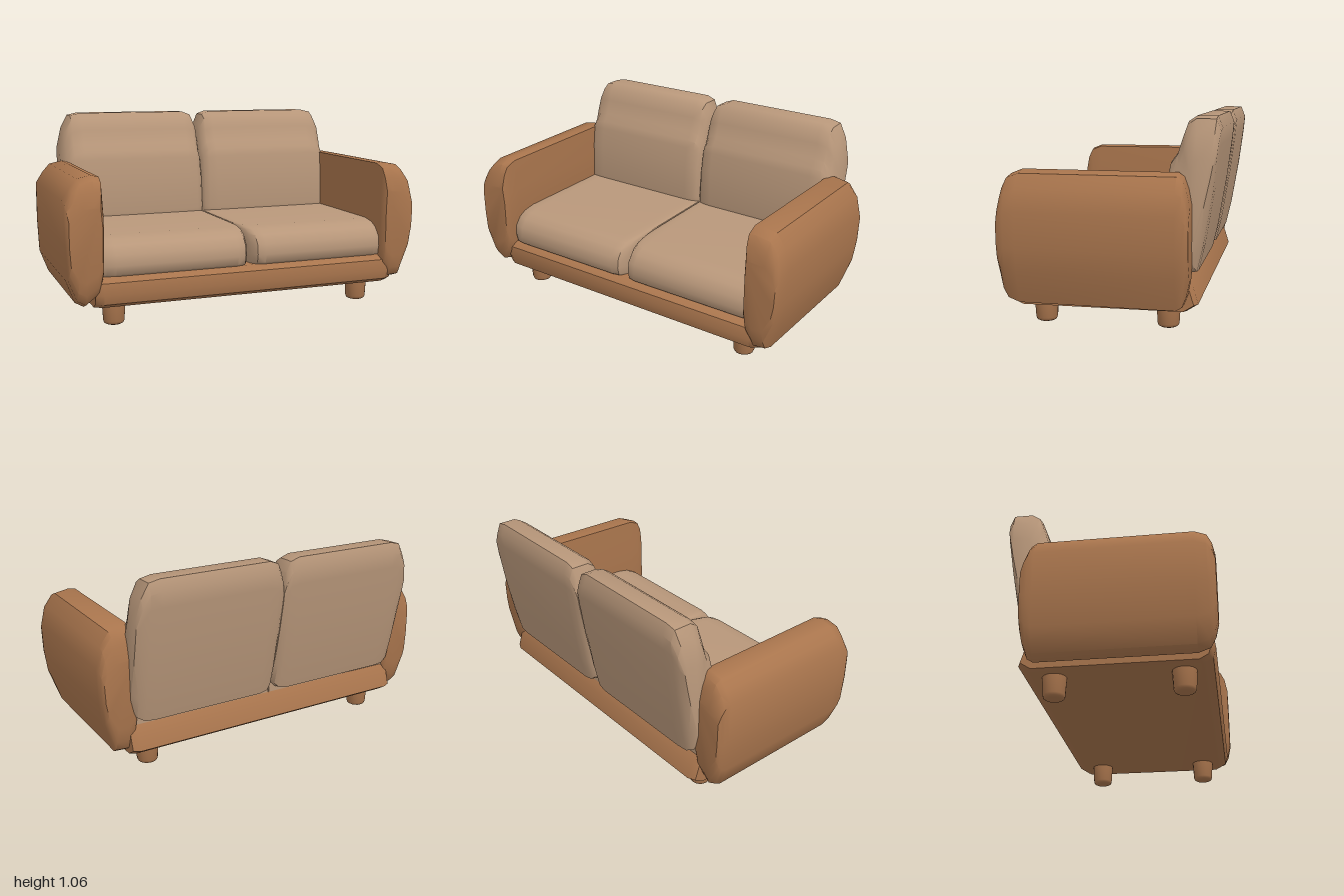
import * as THREE from 'three';
import { toCreasedNormals } from 'three/addons/utils/BufferGeometryUtils.js';

const frameMat = new THREE.MeshStandardMaterial({ color: 0xa9754d });
const cushionMat = new THREE.MeshStandardMaterial({ color: 0xb8977a });

// Skin a closed solid over equal-length rings of [x, y, z], capping both ends
function loft(rings, crease = 0.75) {
  const n = rings[0].length, pos = [], idx = [];
  rings.forEach(r => r.forEach(p => pos.push(...p)));
  for (let i = 0; i < rings.length - 1; i++) {
    for (let j = 0; j < n; j++) {
      const a = i * n + j, b = i * n + (j + 1) % n;
      idx.push(a, b, a + n, b, b + n, a + n);
    }
  }
  const last = (rings.length - 1) * n;
  for (let j = 1; j < n - 1; j++) {
    idx.push(0, j + 1, j, last, last + j, last + j + 1);
  }
  // A negative volume means the faces point inward, so turn them round
  let volume = 0;
  const a = new THREE.Vector3(), b = new THREE.Vector3(), c = new THREE.Vector3();
  for (let k = 0; k < idx.length; k += 3) {
    a.fromArray(pos, idx[k] * 3);
    b.fromArray(pos, idx[k + 1] * 3);
    c.fromArray(pos, idx[k + 2] * 3);
    volume += a.dot(b.cross(c));
  }
  if (volume < 0) idx.reverse();
  const g = new THREE.BufferGeometry();
  g.setAttribute('position', new THREE.Float32BufferAttribute(pos, 3));
  g.setIndex(idx);
  return toCreasedNormals(g, crease);
}

export function createModel() {
  const sofa = new THREE.Group();
  sofa.name = 'sofa';
  const add = (name, geometry, material) => {
    const m = new THREE.Mesh(geometry, material);
    m.name = name;
    sofa.add(m);
  };

  // Base: a (z, y) profile run across the width
  const baseProfile = [[0.46, 0.115], [0.505, 0.14], [0.52, 0.19], [0.51, 0.25], [0.47, 0.275],
    [-0.38, 0.275], [-0.41, 0.23], [-0.435, 0.15], [-0.38, 0.115]];
  add('base', loft([[-0.85, 0.96], [-0.81, 1], [0.81, 1], [0.85, 0.96]].map(([x, s]) =>
    baseProfile.map(([z, y]) => [x, 0.195 + (y - 0.195) * s, z * s]))), frameMat);

  // Arms: an (x, y) outline run from front to back, with bevelled ends
  const arms = {
    leftArm: { lean: -0.03, outline: [[0.79, 0.79], [0.83, 0.795], [0.91, 0.78], [0.96, 0.71], [0.985, 0.6],
      [0.98, 0.42], [0.965, 0.3], [0.91, 0.14], [0.84, 0.135], [0.80, 0.2], [0.785, 0.3], [0.785, 0.6]] },
    rightArm: { lean: 0, outline: [[-0.81, 0.78], [-0.85, 0.79], [-0.92, 0.775], [-0.96, 0.73], [-0.998, 0.67],
      [-0.998, 0.45], [-0.99, 0.27], [-0.945, 0.15], [-0.90, 0.125], [-0.83, 0.18], [-0.805, 0.28], [-0.80, 0.6]] },
  };
  // [z, width scale, height scale]
  const armStations = [[0.54, 0.84, 0.56], [0.525, 0.92, 0.78], [0.50, 0.97, 0.93], [0.44, 1, 1],
    [-0.34, 1, 1], [-0.37, 0.97, 0.94], [-0.39, 0.92, 0.78], [-0.405, 0.84, 0.55]];
  for (const [name, { lean, outline }] of Object.entries(arms)) {
    const cx = name === 'leftArm' ? 0.885 : -0.9;
    add(name, loft(armStations.map(([z, sx, sy]) => outline.map(([x, y]) =>
      [cx + (x - cx) * sx + lean * (z - 0.05), 0.45 + (y - 0.45) * sy, z]))), frameMat);
  }

  // Seat cushion (z, y) profile; [x, front setback, height scale] across the width
  const seatProfile = [[-0.38, 0.27], [0.46, 0.265], [0.488, 0.285], [0.498, 0.33], [0.49, 0.385],
    [0.455, 0.43], [0.41, 0.453], [0.34, 0.465], [-0.38, 0.462]];
  const seatStations = [[0.004, 0.12, 0.97], [0.014, 0.05, 0.99], [0.035, 0.01, 1], [0.08, 0, 1],
    [0.74, 0, 1], [0.79, 0.01, 1], [0.82, 0.03, 0.96]];

  // Back cushion (z, y) profile: flat back, full lower front, slimmer head roll
  const backProfile = [[-0.425, 0.30], [-0.36, 0.29], [-0.27, 0.38], [-0.255, 0.48], [-0.262, 0.68],
    [-0.278, 0.79], [-0.287, 0.835], [-0.32, 0.88], [-0.345, 0.96], [-0.37, 1.03], [-0.412, 1.058],
    [-0.512, 1.058], [-0.535, 1.0], [-0.528, 0.92], [-0.50, 0.70], [-0.455, 0.43]];
  // [x, depth scale, top height, bottom height]
  const backStations = [[0.002, 0.72, 0.92, 0.36], [0.015, 0.86, 0.985, 0.325], [0.04, 0.96, 1.04, 0.30],
    [0.09, 1, 1.058, 0.29], [0.72, 1, 1.058, 0.29], [0.78, 0.97, 1.045, 0.295],
    [0.82, 0.86, 0.97, 0.32], [0.848, 0.58, 0.86, 0.38]];

  for (const [side, s] of [['left', 1], ['right', -1]]) {
    add(side + 'SeatCushion', loft(seatStations.map(([x, setback, h]) => seatProfile.map(([z, y]) =>
      [s * x, 0.27 + (y - 0.27) * h, z > 0 ? z - setback : z]))), cushionMat);
    add(side + 'BackCushion', loft(backStations.map(([x, d, top, bottom]) => backProfile.map(([z, y]) => {
      const t = (y - 0.29) / 0.768;
      const mid = -0.345 - 0.115 * t;
      return [s * x, bottom + (top - bottom) * t, mid + (z - mid) * d];
    }))), cushionMat);
  }

  // Legs: tapered, with a rounded foot
  const legProfile = [[0, 0.002], [0.04, 0.003], [0.051, 0.009], [0.056, 0.022], [0.062, 0.125]]
    .map(p => new THREE.Vector2(...p));
  for (const [side, x] of [['Left', 0.703], ['Right', -0.728]]) {
    for (const [end, z] of [['front', 0.363], ['back', -0.272]]) {
      const leg = toCreasedNormals(new THREE.LatheGeometry(legProfile, 16), 0.9);
      add(end + side + 'Leg', leg.translate(x, 0, z), frameMat);
    }
  }
  return sofa;
}
